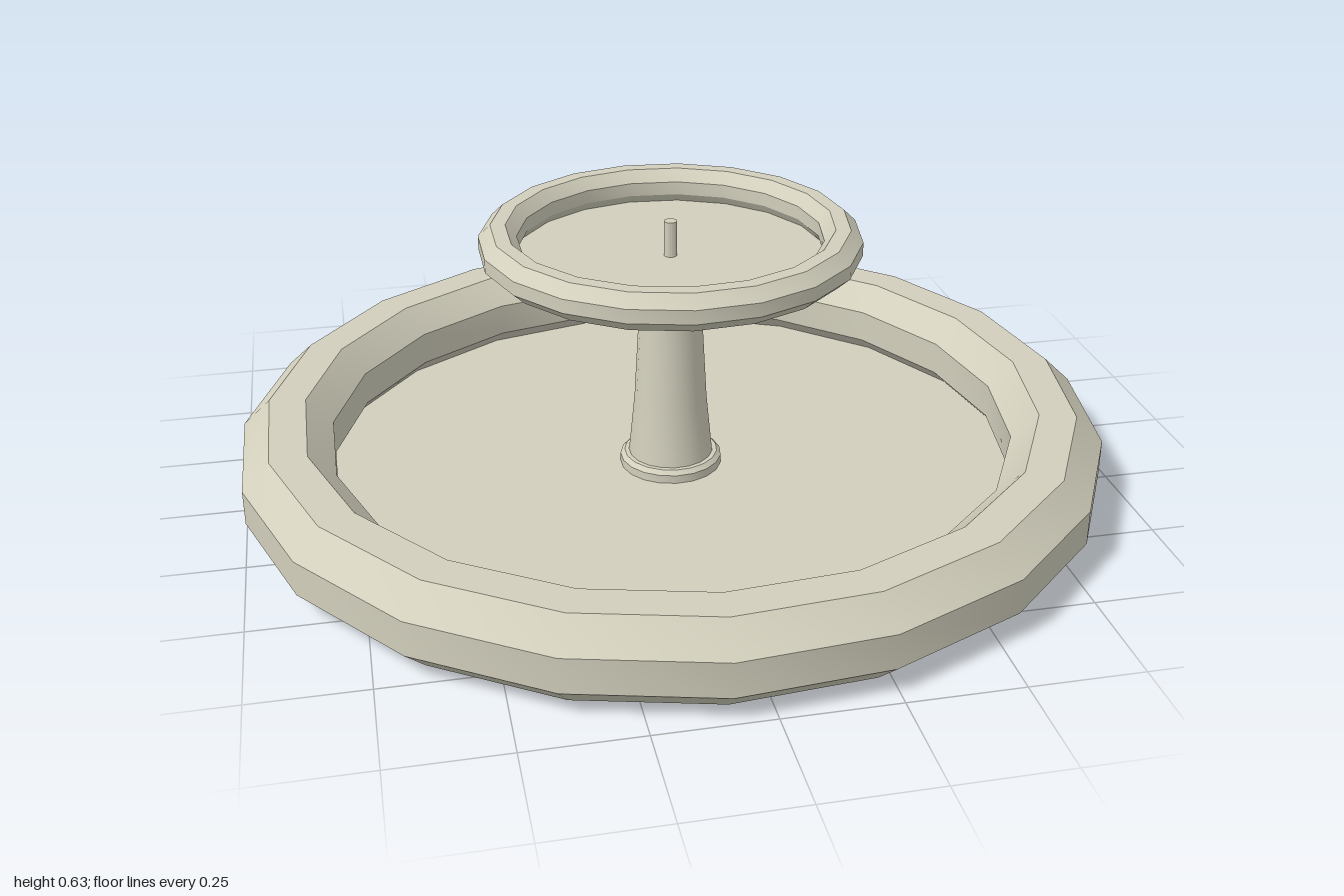
import * as THREE from 'three';
import { toCreasedNormals } from 'three/addons/utils/BufferGeometryUtils.js';

export function createModel() {
  const group = new THREE.Group();
  const stone = new THREE.MeshStandardMaterial({ color: 0xd2cfbc });
  stone.name = 'stone';
  const SIDES = 19;

  // Revolve a profile (bottom axis point to top axis point), a corner on +x
  function turned(name, profile, sides = SIDES) {
    const points = profile.map(([r, y]) => new THREE.Vector2(r, y));
    const geometry = new THREE.LatheGeometry(points, sides, Math.PI / 2);
    const mesh = new THREE.Mesh(toCreasedNormals(geometry, 0.45), stone);
    mesh.name = name;
    mesh.position.x = -0.007;
    group.add(mesh);
  }

  // Lower basin with an eight-sided rim and a flat floor
  turned('basin', [
    [0, 0], [0.94, 0], [1.003, 0.06], [1.003, 0.14], [0.94, 0.2],
    [0.855, 0.2], [0.795, 0.14], [0.795, 0.06], [0.83, 0.025], [0, 0.025],
  ]);

  // Foot collar and tapering column
  turned('footCollar', [[0, 0.02], [0.12, 0.02], [0.12, 0.045], [0.11, 0.055], [0, 0.055]]);
  turned('column', [[0, 0.03], [0.1, 0.05], [0.085, 0.2], [0.071, 0.45], [0, 0.45]]);
  turned('neckCollar', [[0, 0.445], [0.078, 0.445], [0.085, 0.455], [0.085, 0.467], [0, 0.467]]);

  // Upper bowl with a shallow underside
  turned('bowl', [
    [0, 0.462], [0.08, 0.462], [0.21, 0.487], [0.405, 0.545],
    [0.434, 0.572], [0.434, 0.604], [0.406, 0.631],
    [0.372, 0.631], [0.347, 0.604], [0.347, 0.572], [0.36, 0.552], [0, 0.552],
  ]);

  // Water spout
  turned('spout', [[0, 0.54], [0.015, 0.54], [0.015, 0.635], [0, 0.635]], 16);

  return group;
}
